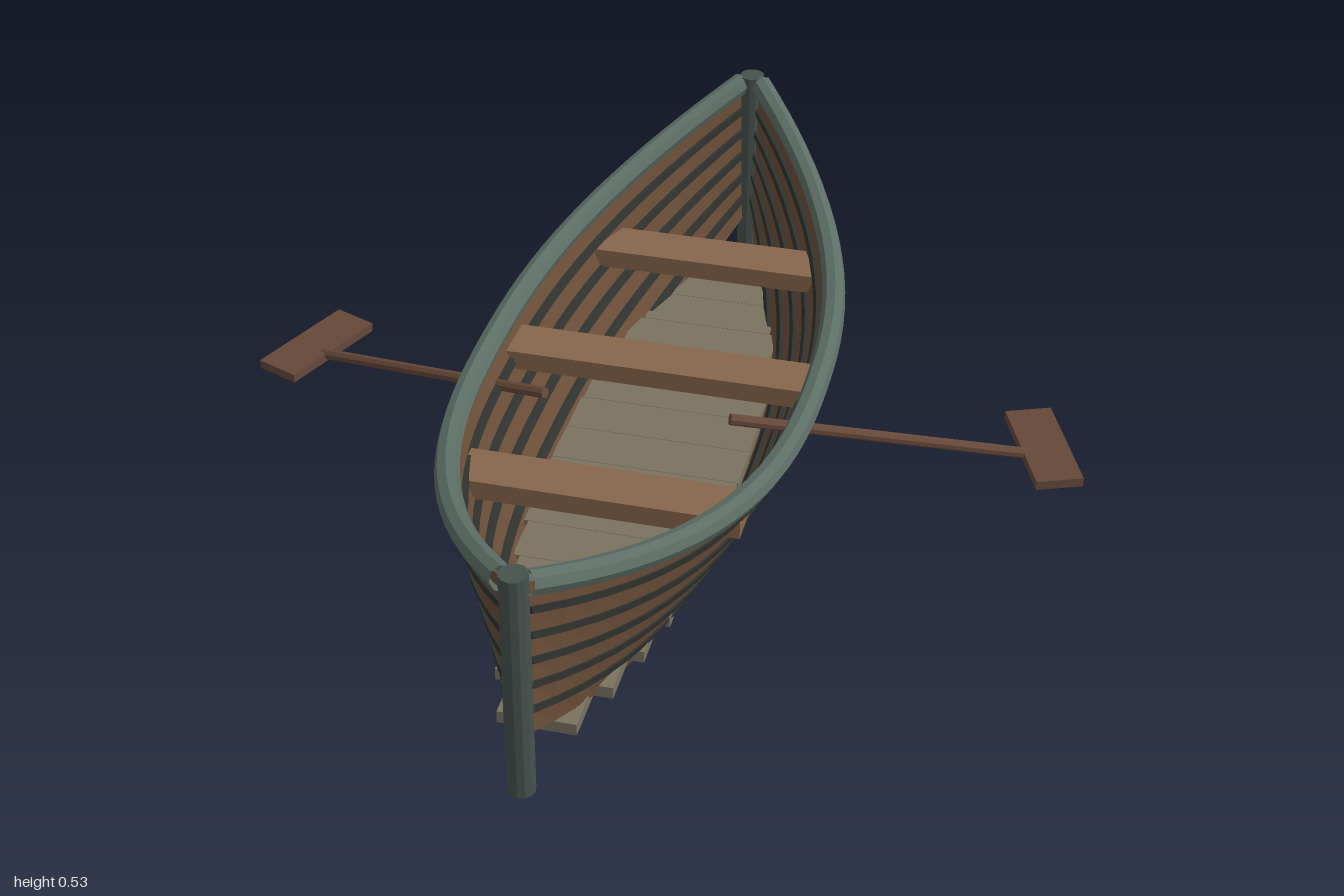
import * as THREE from 'three';

const mat = (color) => new THREE.MeshStandardMaterial({ color, flatShading: true, side: THREE.DoubleSide });
const plankWood = mat(0x6b4e38), seatWood = mat(0x87664c), floorWood = mat(0x7a7260);
const oarWood = mat(0x66493a), darkTrim = mat(0x30332f), postTrim = mat(0x46524d), railTrim = mat(0x5c6e66);

const HALF = 0.965, STEPS = 28, STRAKES = 6;

// Hull surface: t runs stern to bow (-1..1), s runs from lower edge (0) to sheer (1)
function hullPoint(t, s) {
  const a = Math.abs(t);
  const full = 1 - Math.pow(a, 2.4);
  const rise = Math.pow(a, 2.4);
  const low = 0.01 + 0.145 * full, high = 0.018 + 0.325 * full;
  const yLow = 0.155 * rise, yHigh = 0.33 + 0.17 * rise;
  return new THREE.Vector3(
    THREE.MathUtils.lerp(low, high, s) + 0.015 * full * Math.sin(Math.PI * s),
    THREE.MathUtils.lerp(yLow, yHigh, s),
    t * HALF
  );
}

// Sweeps a four-cornered strip along the hull, between s0 and s1
function strake(side, s0, s1, inner, outerLow, outerHigh) {
  const pos = [], index = [];
  for (let i = 0; i <= STEPS; i++) {
    const t = -1 + (2 * i) / STEPS;
    const a = hullPoint(t, s0), b = hullPoint(t, s1);
    const ring = [[a.x - inner, a.y], [a.x + outerLow, a.y], [b.x + outerHigh, b.y], [b.x - inner, b.y]];
    if (side < 0) ring.reverse();
    ring.forEach(([x, y]) => pos.push(side * x, y, a.z));
  }
  for (let i = 0; i < STEPS; i++) {
    for (let k = 0; k < 4; k++) {
      const a = i * 4 + k, b = i * 4 + ((k + 1) % 4);
      index.push(a, b, b + 4, a, b + 4, a + 4);
    }
  }
  const e = STEPS * 4;
  index.push(0, 2, 1, 0, 3, 2, e, e + 1, e + 2, e, e + 2, e + 3);
  const g = new THREE.BufferGeometry();
  g.setAttribute('position', new THREE.Float32BufferAttribute(pos, 3));
  g.setIndex(index);
  g.computeVertexNormals();
  return g;
}

export function createModel() {
  const model = new THREE.Group();
  model.name = 'rowingBoat';

  const add = (name, geometry, material, parent = model) => {
    const m = new THREE.Mesh(geometry, material);
    m.name = name;
    parent.add(m);
    return m;
  };

  for (const side of [1, -1]) {
    const label = side > 0 ? 'left' : 'right';

    // Lapped hull planks with dark battens along the seams
    const hull = new THREE.Group();
    hull.name = label + 'Hull';
    model.add(hull);
    for (let i = 0; i < STRAKES; i++) {
      const s0 = i / STRAKES, s1 = (i + 1) / STRAKES;
      add('hullPlank', strake(side, s0, s1, 0.006, 0.009, 0.003), plankWood, hull);
      if (i > 0) add('seamBatten', strake(side, s0 - 0.025, s0 + 0.02, 0.014, 0.015, 0.013), darkTrim, hull);
    }

    // Gunwale rail following the sheer
    const rail = [];
    for (let i = 0; i <= STEPS; i++) {
      const p = hullPoint(-1 + (2 * i) / STEPS, 1);
      rail.push(new THREE.Vector3(side * (p.x + 0.004), p.y + 0.002, p.z));
    }
    add(label + 'Gunwale', new THREE.TubeGeometry(new THREE.CatmullRomCurve3(rail), 36, 0.025, 8), railTrim);

    // Oar: round shaft and flat blade set across its end
    const oar = new THREE.Group();
    oar.name = label + 'Oar';
    model.add(oar);
    const grip = new THREE.Vector3(side * 0.195, 0.305, 0.118);
    const tip = new THREE.Vector3(side * 0.82, 0.138, -0.15);
    const dir = tip.clone().sub(grip);
    const shaft = add('oarShaft', new THREE.CylinderGeometry(0.012, 0.012, dir.length(), 8), oarWood, oar);
    shaft.position.copy(grip).add(tip).multiplyScalar(0.5);
    shaft.quaternion.setFromUnitVectors(new THREE.Vector3(0, 1, 0), dir.normalize());
    const blade = add('oarBlade', new THREE.BoxGeometry(0.1, 0.02, 0.26), oarWood, oar);
    blade.position.set(side * 0.81, 0.147, -0.163);
    blade.rotation.y = side * 0.38;
  }

  // Stem and stern posts
  for (const end of [1, -1]) {
    const post = add(end > 0 ? 'stemPost' : 'sternPost', new THREE.CylinderGeometry(0.028, 0.028, 0.5, 12), postTrim);
    post.position.set(0, 0.272, end * 0.971);
  }

  // Crosswise floor boards, narrowing towards the ends
  const boards = 15, pitch = 1.735 / boards;
  for (let i = 0; i < boards; i++) {
    const z = (i - (boards - 1) / 2) * pitch;
    const half = 0.012 + 0.19 * (1 - Math.pow(Math.abs(z) / HALF, 2.4));
    add('floorBoard', new THREE.BoxGeometry(half * 2, 0.026, pitch - 0.001), floorWood).position.set(0, 0.09, z);
  }

  // Bench seats
  for (const [z, half] of [[-0.53, 0.25], [-0.08, 0.325], [0.385, 0.287]]) {
    add('seat', new THREE.BoxGeometry(half * 2, 0.042, 0.108), seatWood).position.set(0, 0.276, z);
  }

  return model;
}
